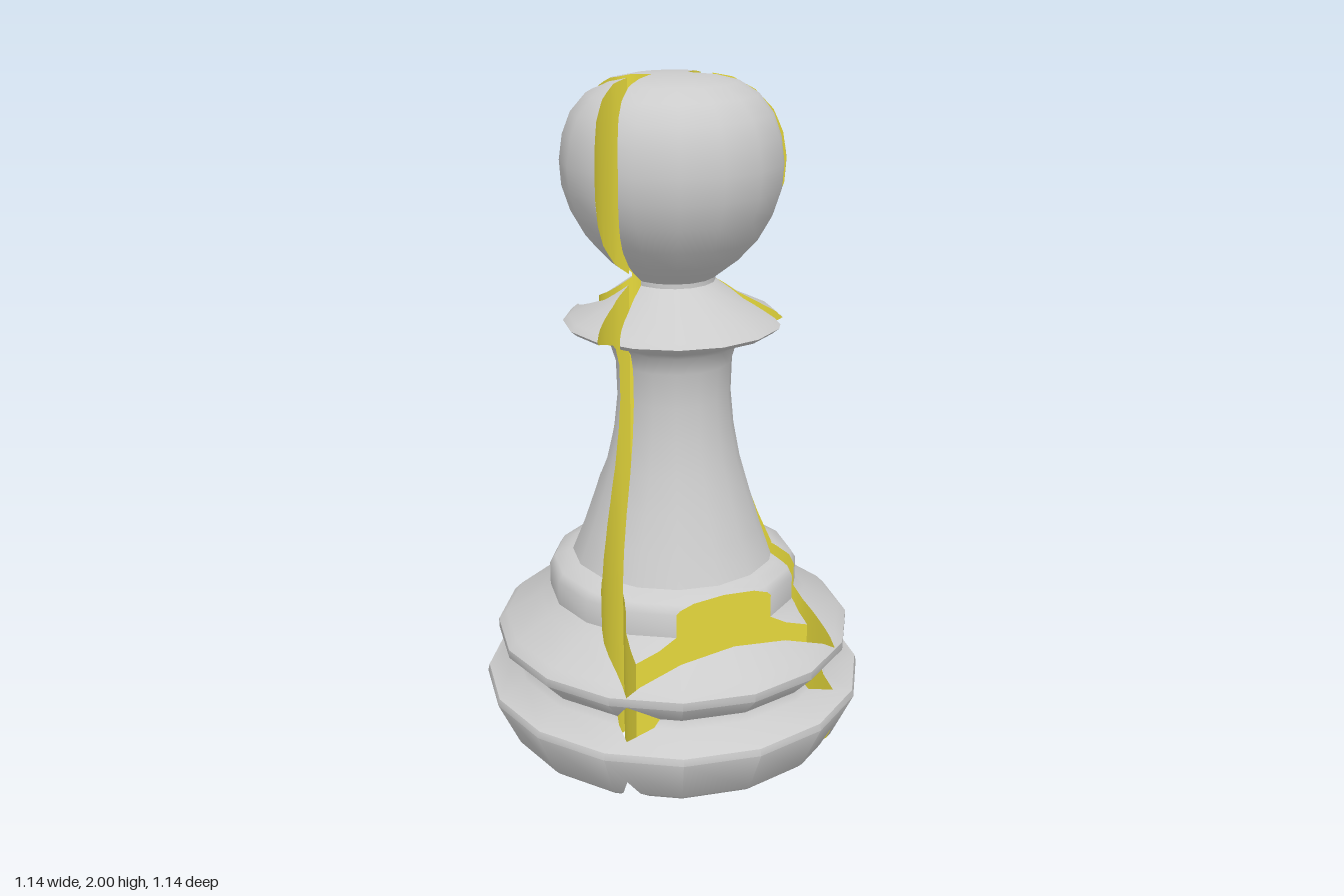
import * as THREE from 'three';
import { toCreasedNormals } from 'three/addons/utils/BufferGeometryUtils.js';

const SIDES = 16;

// Turned profile: radius, height (height always rises)
const PROFILE = [
  [0, 0], [0.3, 0.012], [0.49, 0.045], [0.505, 0.06], [0.57, 0.2], [0.565, 0.22], [0.48, 0.262], [0.47, 0.285],
  [0.53, 0.35], [0.53, 0.375], [0.505, 0.4], [0.4, 0.46], [0.37, 0.49], [0.37, 0.56], [0.355, 0.585], [0.315, 0.6],
  [0.3, 0.605], [0.262, 0.7], [0.228, 0.8], [0.197, 0.9], [0.177, 1.0], [0.167, 1.1], [0.17, 1.2], [0.185, 1.25],
  [0.2, 1.265], [0.295, 1.3], [0.313, 1.315], [0.295, 1.33], [0.2, 1.375], [0.12, 1.432], [0.12, 1.445],
  [0.19, 1.5], [0.245, 1.56], [0.285, 1.63], [0.308, 1.7], [0.313, 1.77], [0.303, 1.84], [0.28, 1.9],
  [0.237, 1.95], [0.18, 1.982], [0.12, 1.995], [0, 2],
];

// Plan of the channel (x >= 0 half), back to front: matching outer and inner edges
const RUNS = [
  { n: 10,
    outer: [[0, -0.515], [0.06, -0.5], [0.115, -0.455], [0.135, -0.395], [0.125, -0.335], [0.107, -0.303]],
    inner: [[0, -0.46], [0.037, -0.452], [0.062, -0.425], [0.07, -0.395], [0.063, -0.365], [0.046, -0.343]] },
  { n: 14,
    outer: [[0.107, -0.303], [0.12, -0.296], [0.17, -0.265], [0.205, -0.21], [0.214, -0.155], [0.196, -0.075], [0.165, -0.04], [0.128, -0.018]],
    inner: [[0.046, -0.343], [0.058, -0.303], [0.104, -0.263], [0.138, -0.215], [0.147, -0.16], [0.125, -0.086], [0.09, -0.06], [0.055, -0.022]] },
  { n: 12,
    outer: [[0.128, -0.018], [0.19, 0.015], [0.257, 0.08], [0.305, 0.165], [0.327, 0.25], [0.333, 0.4]],
    inner: [[0.055, -0.022], [0.104, 0.024], [0.17, 0.08], [0.225, 0.145], [0.263, 0.232], [0.275, 0.336]] },
  { n: 8, outer: [[0.333, 0.4], [0, 0.4]], inner: [[0.275, 0.336], [0, 0.336]] },
];

// Full closed outline: smooth runs on one side, mirrored on the other
function outline(key) {
  const half = [];
  RUNS.forEach((run, i) => {
    const pts = new THREE.SplineCurve(run[key].map(p => new THREE.Vector2(...p))).getPoints(run.n);
    half.push(...(i ? pts.slice(1) : pts));
  });
  const mirrored = half.slice(1).reverse().map(p => new THREE.Vector2(-p.x, p.y));
  return [...half, ...mirrored.slice(1), half[0].clone()];
}

// Keep the part of a polygon where f >= 0 (vertices are plain number arrays)
function clip(poly, f) {
  const out = [];
  poly.forEach((a, i) => {
    const b = poly[(i + 1) % poly.length];
    const fa = f(a), fb = f(b);
    if (fa >= 0) out.push(a);
    if ((fa > 0 && fb < 0) || (fa < 0 && fb > 0)) {
      const t = fa / (fa - fb);
      out.push(a.map((v, k) => v + (b[k] - v) * t));
    }
  });
  return out;
}

function area(poly) {
  const sum = new THREE.Vector3(), u = new THREE.Vector3(), w = new THREE.Vector3();
  const at = (v, i) => v.set(...[0, 1, 2].map(k => poly[i][k] - poly[0][k]));
  for (let i = 1; i + 1 < poly.length; i++) sum.add(at(u, i).cross(at(w, i + 1)));
  return sum.length() / 2;
}

// Remove a vertical triangular prism (plan corners) from a polygon
function subtract(poly, cell) {
  const kept = [];
  let rest = poly;
  for (let i = 0; i < 3; i++) {
    const a = cell[i], b = cell[(i + 1) % 3];
    const side = v => (b.x - a.x) * (v[2] - a.y) - (b.y - a.y) * (v[0] - a.x);
    const off = clip(rest, v => -side(v));
    rest = clip(rest, side);
    if (rest.length < 3 || area(rest) < 1e-9) return [poly];
    if (off.length > 2 && area(off) > 1e-10) kept.push(off);
  }
  return kept;
}

// Fan-triangulate polygons; vertices hold a position and maybe a normal
function toGeometry(polys, withNormals) {
  const pos = [], nor = [];
  for (const p of polys) {
    for (let i = 1; i + 1 < p.length; i++) {
      for (const v of [p[0], p[i], p[i + 1]]) {
        pos.push(v[0], v[1], v[2]);
        if (withNormals) nor.push(v[3], v[4], v[5]);
      }
    }
  }
  const g = new THREE.BufferGeometry();
  g.setAttribute('position', new THREE.Float32BufferAttribute(pos, 3));
  if (withNormals) g.setAttribute('normal', new THREE.Float32BufferAttribute(nor, 3));
  return g;
}

// Turned surface with the channel cut out of it
function turnedSurface(outer, inner) {
  const cells = [];
  for (let i = 0; i + 1 < outer.length; i++) {
    for (const c of [[outer[i], outer[i + 1], inner[i]], [outer[i + 1], inner[i + 1], inner[i]]]) {
      const turn = (c[1].x - c[0].x) * (c[2].y - c[0].y) - (c[1].y - c[0].y) * (c[2].x - c[0].x);
      if (Math.abs(turn) > 1e-9) cells.push(turn > 0 ? c : [c[0], c[2], c[1]]);
    }
  }
  const lathe = new THREE.LatheGeometry(PROFILE.map(p => new THREE.Vector2(...p)), SIDES);
  const g = toCreasedNormals(lathe, 0.75);
  const p = g.attributes.position, n = g.attributes.normal;
  const result = [];
  for (let i = 0; i < p.count; i += 3) {
    const tri = [i, i + 1, i + 2].map(k => [p.getX(k), p.getY(k), p.getZ(k), n.getX(k), n.getY(k), n.getZ(k)]);
    if (area(tri) < 1e-10) continue;
    let polys = [tri];
    for (const c of cells) polys = polys.flatMap(q => subtract(q, c));
    result.push(...polys);
  }
  return toGeometry(result, true);
}

// Radius at which the many-sided turned form passes through a plan point
function facetRadius(x, z) {
  const step = (2 * Math.PI) / SIDES;
  const a = Math.atan2(z, x);
  const off = a - (Math.floor(a / step) + 0.5) * step;
  return (Math.hypot(x, z) * Math.cos(off)) / Math.cos(step / 2);
}

// Upright wall along an outline, trimmed to the turned profile
function channelWall(path) {
  const polys = [];
  for (let i = 0; i + 1 < path.length; i++) {
    for (let s = 0; s < 2; s++) {
      const a = path[i].clone().lerp(path[i + 1], s / 2);
      const b = path[i].clone().lerp(path[i + 1], (s + 1) / 2);
      const ra = facetRadius(a.x, a.y), rb = facetRadius(b.x, b.y);
      for (let k = 0; k + 1 < PROFILE.length; k++) {
        const [r0, y0] = PROFILE[k], [r1, y1] = PROFILE[k + 1];
        const quad = [
          [a.x, y0, a.y, r0 - ra], [b.x, y0, b.y, r0 - rb],
          [b.x, y1, b.y, r1 - rb], [a.x, y1, a.y, r1 - ra],
        ];
        const part = clip(quad, v => v[3]);
        if (part.length > 2 && area(part) > 1e-10) polys.push(part);
      }
    }
  }
  return toCreasedNormals(toGeometry(polys, false), 0.6);
}

export function createModel() {
  const group = new THREE.Group();
  group.name = 'splitPawn';
  const grey = new THREE.MeshStandardMaterial({ color: 0xcccccc });
  const yellow = new THREE.MeshStandardMaterial({ color: 0xe6d93c });
  const outer = outline('outer'), inner = outline('inner');
  const add = (name, geometry, material) => {
    const mesh = new THREE.Mesh(geometry, material);
    mesh.name = name;
    group.add(mesh);
  };
  add('turnedBody', turnedSurface(outer, inner), grey);
  // The outer wall faces the core, the core wall faces outward
  add('outerChannelWall', channelWall(outer), yellow);
  add('coreChannelWall', channelWall([...inner].reverse()), yellow);
  return group;
}
